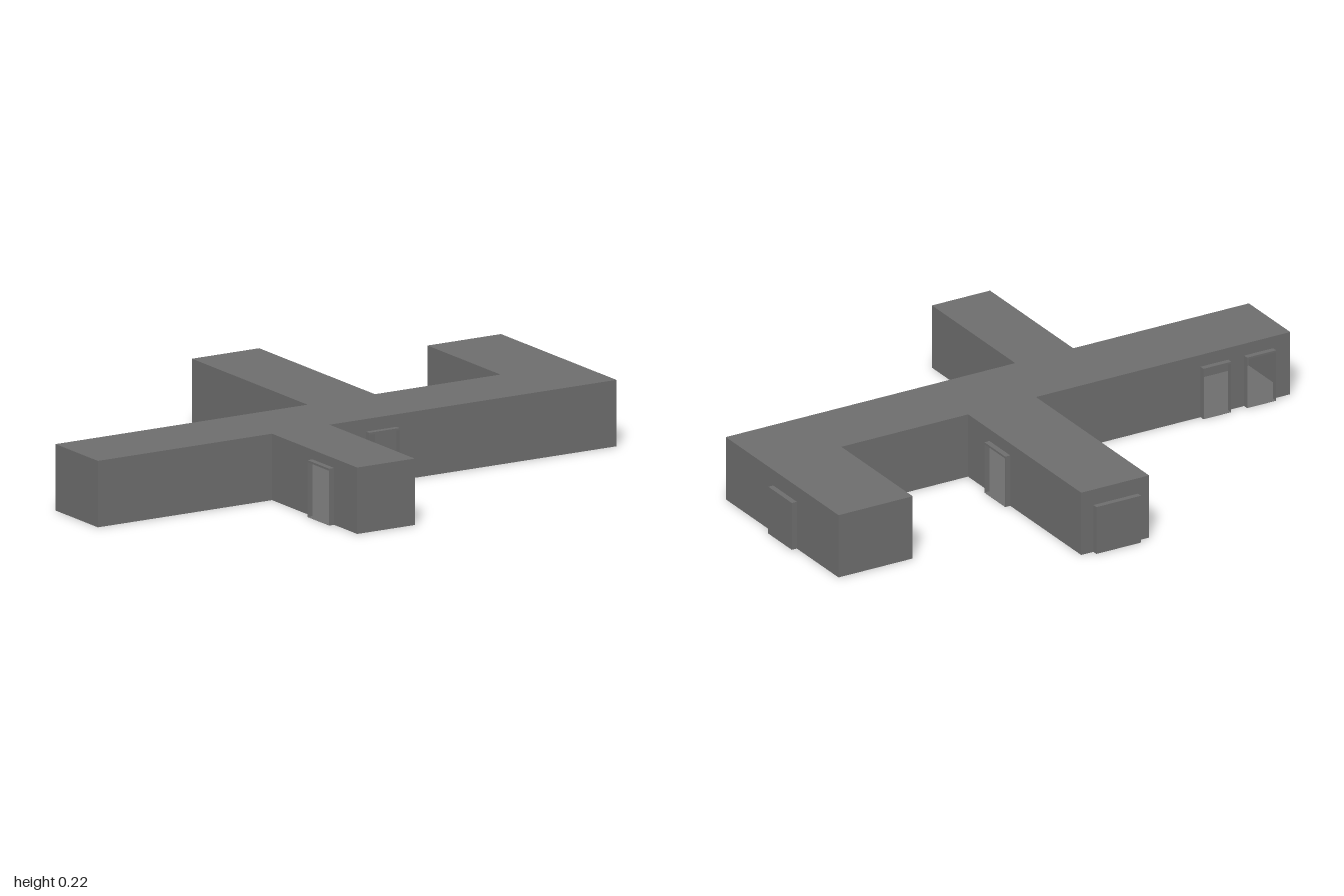
import * as THREE from 'three';

const H = 0.222; // corridor height
// floor plan corners as [x, z]
const PLAN = [
  [-1, -0.027], [-0.037, -0.027], [-0.037, -0.732], [0.22, -0.732], [0.22, -0.027],
  [0.7, -0.027], [0.7, -0.472], [0.981, -0.472], [0.981, 0.231], [-0.115, 0.231],
  [-0.115, 0.75], [-0.335, 0.75], [-0.335, 0.231], [-1, 0.231],
];
// doors: plan edge, start and end along that edge, height, open or closed
const DOORS = [
  { edge: 0, a: 0.065, b: 0.175, h: 0.18, open: true },
  { edge: 0, a: 0.235, b: 0.34, h: 0.18, open: true },
  { edge: 2, a: 0.042, b: 0.211, h: 0.167, open: false },
  { edge: 3, a: 0.442, b: 0.572, h: 0.18, open: true },
  { edge: 7, a: 0.26, b: 0.407, h: 0.167, open: false },
  { edge: 8, a: 0.84, b: 0.957, h: 0.18, open: true },
  { edge: 11, a: 0.14, b: 0.272, h: 0.19, open: true },
];
const DEPTH = 0.019; // how far doors stand out
const JAMB = 0.001; // thin side panels of a door frame
const LINTEL = 0.007; // thicker top of a door frame

export function createModel() {
  const model = new THREE.Group();
  const mat = new THREE.MeshStandardMaterial({
    color: 0x6e6e6e, flatShading: true, side: THREE.DoubleSide,
  });
  const add = (parent, name, geometry) => {
    const mesh = new THREE.Mesh(geometry, mat);
    mesh.name = name;
    parent.add(mesh);
    return mesh;
  };
  const box = (parent, name, x0, x1, y0, y1) =>
    add(parent, name, new THREE.BoxGeometry(x1 - x0, y1 - y0, DEPTH))
      .position.set((x0 + x1) / 2, (y0 + y1) / 2, -DEPTH / 2);

  // floor and roof share the plan
  const plan = new THREE.Shape(PLAN.map(([x, z]) => new THREE.Vector2(x, -z)));
  add(model, 'floor', new THREE.ShapeGeometry(plan).rotateX(-Math.PI / 2));
  add(model, 'roof', new THREE.ShapeGeometry(plan).rotateX(-Math.PI / 2).translate(0, H, 0));

  // one wall per plan edge; local x runs along it and local -z points outside
  PLAN.forEach(([x, z], i) => {
    const [nx, nz] = PLAN[(i + 1) % PLAN.length];
    const dx = nx - x, dz = nz - z, length = Math.hypot(dx, dz);
    const side = new THREE.Group();
    side.name = 'wallSide';
    side.position.set(x, 0, z);
    side.rotation.y = Math.atan2(-dz, dx);
    model.add(side);

    const wall = new THREE.Shape().moveTo(0, 0);
    for (const { a, b, h, open } of DOORS.filter((d) => d.edge === i)) {
      if (!open) {
        box(side, 'closedDoor', a, b, 0, h);
        continue;
      }
      // doorway cut into the wall
      const left = a + JAMB, right = b - JAMB, top = h - LINTEL;
      wall.lineTo(left, 0).lineTo(left, top).lineTo(right, top).lineTo(right, 0);
      // frame standing out around it
      box(side, 'doorJamb', a, left, 0, h);
      box(side, 'doorJamb', right, b, 0, h);
      box(side, 'doorLintel', left, right, top, h);
      box(side, 'doorSill', left, right, 0, 0.001);
    }
    wall.lineTo(length, 0).lineTo(length, H).lineTo(0, H);
    add(side, 'wall', new THREE.ShapeGeometry(wall));
  });
  return model;
}
